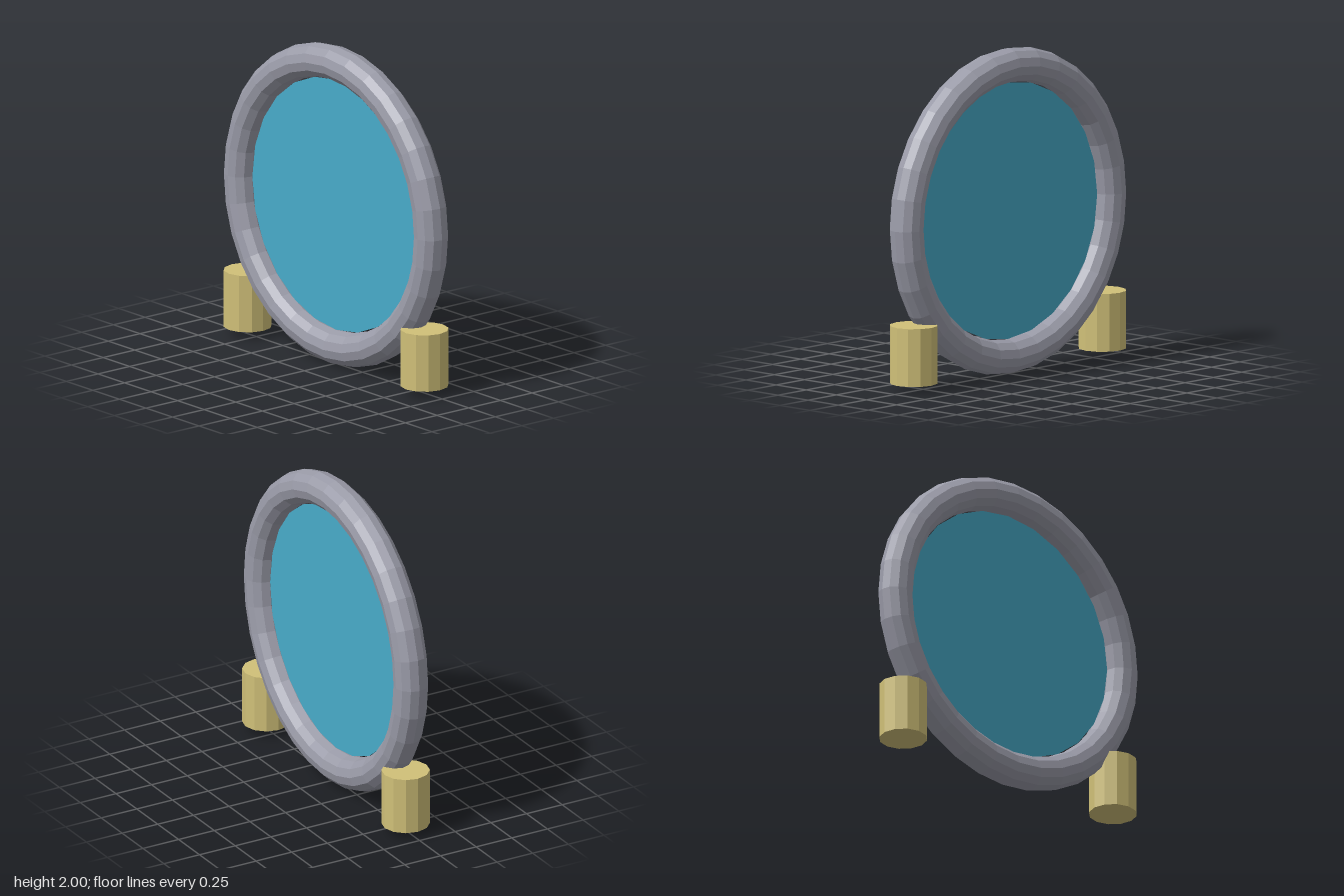
import * as THREE from 'three';

export function createModel() {
  const model = new THREE.Group();
  model.name = 'ringPortal';

  const stone = new THREE.MeshStandardMaterial({ color: 0x9a9ba8 });
  stone.name = 'greyStone';
  stone.flatShading = true;
  const brass = new THREE.MeshStandardMaterial({ color: 0xd0c078 });
  brass.name = 'paleBrass';
  brass.flatShading = true;
  const surface = new THREE.MeshStandardMaterial({ color: 0x48abc9, side: THREE.DoubleSide });
  surface.name = 'portalBlue';

  const add = (name, geometry, material, x, y) => {
    const mesh = new THREE.Mesh(geometry, material);
    mesh.name = name;
    mesh.position.set(x, y, 0);
    model.add(mesh);
  };

  // Upright ring and the flat disc that fills it
  add('ring', new THREE.TorusGeometry(0.895, 0.105, 12, 32), stone, 0, 1);
  add('portalDisc', new THREE.CircleGeometry(0.788, 24), surface, 0, 1);

  // Twelve-sided posts on either side of the ring
  const post = new THREE.CylinderGeometry(0.147, 0.147, 0.355, 12);
  for (const side of [1, -1]) {
    add(side > 0 ? 'leftPost' : 'rightPost', post, brass, side * 0.833, 0.2275);
  }
  return model;
}
